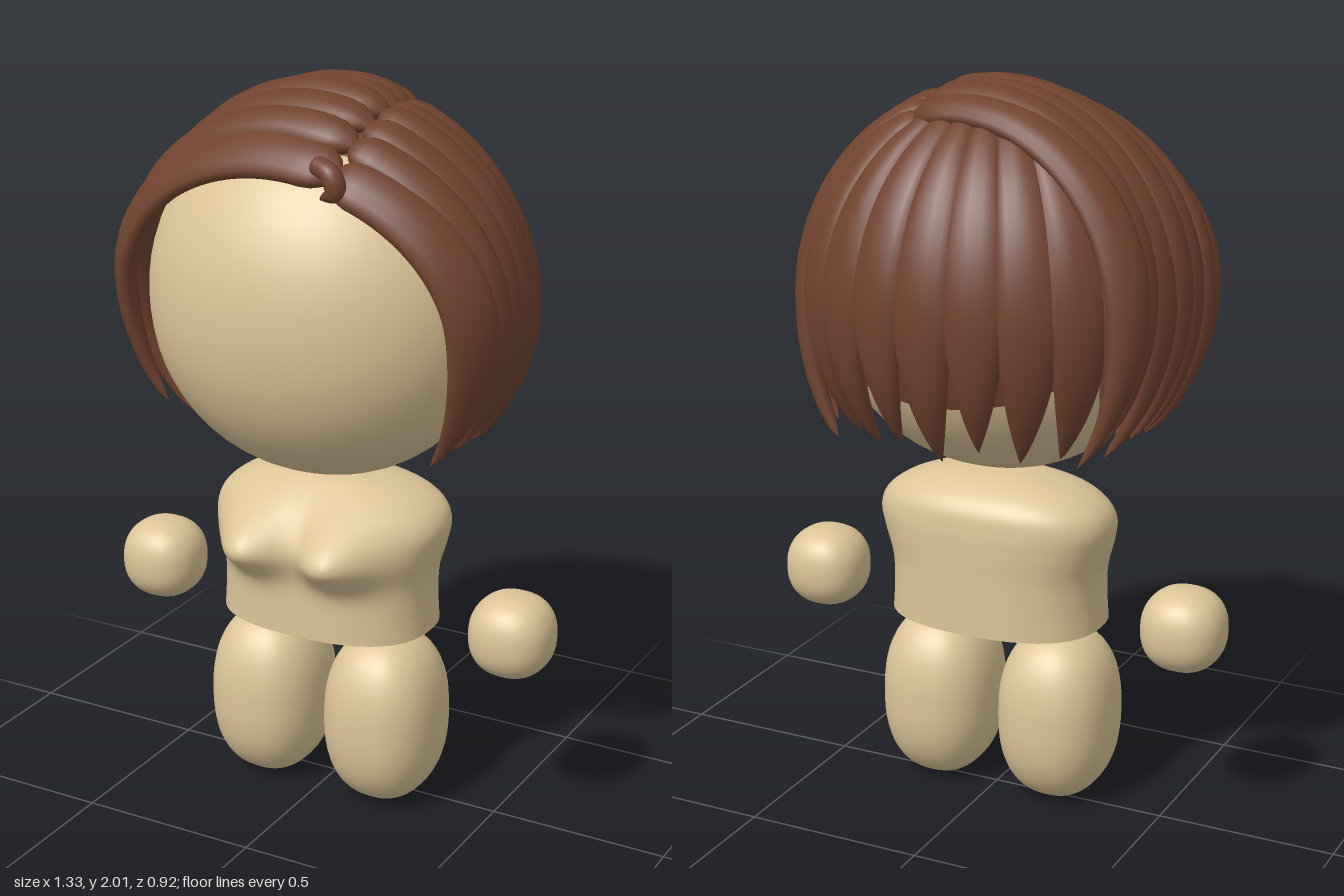
import * as THREE from 'three';
import { mergeVertices } from 'three/addons/utils/BufferGeometryUtils.js';

const V = (x, y, z) => new THREE.Vector3(x, y, z);
const skin = new THREE.MeshStandardMaterial({ color: 0xdcc498 });
const hairMat = new THREE.MeshStandardMaterial({ color: 0x70432f, side: THREE.DoubleSide });

function add(parent, name, geometry, material) {
  const mesh = new THREE.Mesh(geometry, material);
  mesh.name = name;
  parent.add(mesh);
  return mesh;
}

// Smooth skin over a list of closed rings with equal point counts
function loft(rings) {
  const n = rings[0].length, pos = [], idx = [];
  rings.forEach(r => r.forEach(p => pos.push(p.x, p.y, p.z)));
  for (let i = 0; i < rings.length - 1; i++) {
    for (let j = 0; j < n; j++) {
      const a = i * n + j, b = i * n + (j + 1) % n;
      idx.push(a, b, a + n, b, b + n, a + n);
    }
  }
  const g = new THREE.BufferGeometry();
  g.setAttribute('position', new THREE.Float32BufferAttribute(pos, 3));
  g.setIndex(idx);
  g.computeVertexNormals();
  return g;
}

// Ellipsoid, squarer as the power rises above 2
function blob(rx, ry, rz, power) {
  let g = new THREE.SphereGeometry(1, 48, 32);
  const p = g.attributes.position;
  for (let i = 0; i < p.count; i++) {
    const v = V().fromBufferAttribute(p, i);
    const s = [v.x, v.y, v.z].reduce((t, c) => t + Math.abs(c) ** power, 0) ** (-1 / power);
    p.setXYZ(i, v.x * s * rx, v.y * s * ry, v.z * s * rz);
  }
  g.deleteAttribute('uv');
  g.deleteAttribute('normal');
  g = mergeVertices(g, 1e-4);
  g.computeVertexNormals();
  return g;
}

// Torso: rows of half width, height, front depth, back depth
function torsoRings() {
  const rows = [
    [.305, .52, .235, -.19], [.3, .6, .235, -.19], [.303, .68, .23, -.19],
    [.325, .76, .22, -.192], [.335, .82, .205, -.19], [.31, .87, .18, -.18],
    [.245, .91, .14, -.145], [.14, .94, .09, -.08], [0, .955, .03, .03],
  ];
  const curve = k => new THREE.CatmullRomCurve3(rows.map(r => V(r[0], r[1], r[k])), false, 'catmullrom');
  const front = curve(2), back = curve(3), rings = [];
  const pw = c => Math.sign(c) * Math.abs(c) ** .82;
  for (let i = 0; i <= 48; i++) {
    const f = front.getPoint(i / 48), b = back.getPoint(i / 48), ring = [];
    const mid = (f.z + b.z) / 2, half = (f.z - b.z) / 2;
    for (let j = 0; j < 72; j++) {
      const a = j / 72 * Math.PI * 2, c = Math.cos(a);
      const x = f.x * pw(Math.sin(a));
      const dy = (f.y - .77) / (f.y < .77 ? .075 : .095), dx = (Math.abs(x) - .13) / .11;
      const bust = .125 * Math.exp(-dx * dx - dy * dy) * Math.min(1, Math.max(0, c * 2.5));
      ring.push(V(x, f.y, mid + half * pw(c) + bust));
    }
    rings.push(ring);
  }
  return rings;
}

// Hair lock: a flattened, tapering tube that follows path(u) over the head
function lock(path, width, thick, rootWidth) {
  const rings = [], steps = 40, sides = 14;
  for (let i = 0; i <= steps; i++) {
    const u = i / steps, p = path(u);
    const t = path(u + .005).sub(path(u - .005)).normalize();
    const n = V(p.x / .28, (p.y - 1.44) / .26, p.z / .22);
    n.addScaledVector(t, -n.dot(t)).normalize();
    const w = V().crossVectors(n, t);
    const v = Math.max(0, (u - .6) / .4);
    const tip = Math.max(.001, 1 - v ** 1.7);
    const root = Math.max(.02, Math.sqrt(Math.min(1, u / .06)));
    const spread = rootWidth + (1 - rootWidth) * Math.min(1, Math.sin(Math.min(u / .6, 1) * Math.PI / 2));
    const hw = width * tip * root * spread, ht = thick * Math.sqrt(tip) * root;
    const ring = [];
    for (let j = 0; j < sides; j++) {
      const a = j / sides * Math.PI * 2;
      ring.push(p.clone().addScaledVector(w, hw * Math.cos(a)).addScaledVector(n, ht * Math.sin(a)));
    }
    rings.push(ring);
  }
  return loft(rings);
}

function buildHair() {
  const hair = new THREE.Group();
  hair.name = 'hair';

  // Scalp cap under the locks, tilted to the back
  const cap = new THREE.SphereGeometry(1, 48, 24, 0, Math.PI * 2, 0, 1.4);
  cap.rotateX(-.61);
  cap.scale(.505, .515, .435);
  add(hair, 'scalpCap', cap, hairMat).position.set(0, 1.44, .005);

  // Side locks fall from the off-centre parting to both sides
  const roots = [.31, .23, .15, .07, 0, -.07, -.13];
  const tips = [.19, .11, .03, -.05, -.13, -.21, -.29];
  for (const s of [-1, 1]) {
    roots.forEach((z0, i) => {
      const z1 = tips[i], start = s < 0 ? -.38 : .3, end = 2.26 + .06 * Math.sin(i * 2.3 + s);
      const top = .53 * Math.sqrt(1 - ((z0 - .02) / .46) ** 2) + (s < 0 ? .005 : -.005);
      let side = .53 * Math.sqrt(1 - ((z1 - .05) / .62) ** 2);
      if (s < 0 && i === 6) side += .04;
      const path = u => {
        const a = start + (end - start) * u, c = Math.cos(a);
        return V(s * side * Math.sin(a), 1.44 + (c > 0 ? top : .55) * c, z0 + (z1 - z0) * u);
      };
      const geo = lock(path, i === 0 ? .08 : .068, .034 + .005 * (i % 2), .85);
      add(hair, s < 0 ? 'rightSideLock' : 'leftSideLock', geo, hairMat);
    });
  }

  // Back locks fan out from the crown
  for (let i = -4; i <= 4; i++) {
    const th = i * .27, end = 2.24 + .05 * Math.cos(i * 2.6);
    const path = u => {
      const a = .3 + (end - .3) * u, c = Math.cos(a), r = Math.sin(a);
      return V(.515 * Math.sin(th) * r, 1.44 + (c > 0 ? .505 : .58) * c, -.425 * Math.cos(th) * r);
    };
    add(hair, 'backLock', lock(path, .084, .036, .4), hairMat);
  }

  // Small curled end where the fringe meets the parting
  const curl = new THREE.CatmullRomCurve3([V(.12, 1.86, .33), V(.18, 1.84, .35), V(.19, 1.8, .35), V(.15, 1.775, .35)]);
  add(hair, 'partingCurl', lock(u => curl.getPoint(Math.min(1, Math.max(0, u))), .028, .025, .9), hairMat);
  return hair;
}

export function createModel() {
  const model = new THREE.Group();
  model.name = 'figure';

  add(model, 'head', blob(.485, .485, .42, 2.08), skin).position.set(0, 1.44, .04);
  model.add(buildHair());

  // Torso with a flat base
  const rings = torsoRings();
  add(model, 'torso', loft(rings), skin);
  const base = rings[0];
  add(model, 'torsoBase', loft([base.map(() => V(0, .52, .02)), base]), skin);

  // Floating hands and rounded feet
  for (const s of [-1, 1]) {
    const side = s < 0 ? 'right' : 'left';
    add(model, side + 'Hand', blob(.115, .115, .115, 2.35), skin).position.set(s * .55, .565, .02);
    add(model, side + 'Foot', blob(.162, .247, .179, 2.4), skin).position.set(s * .18, .25, .033);
  }
  return model;
}
